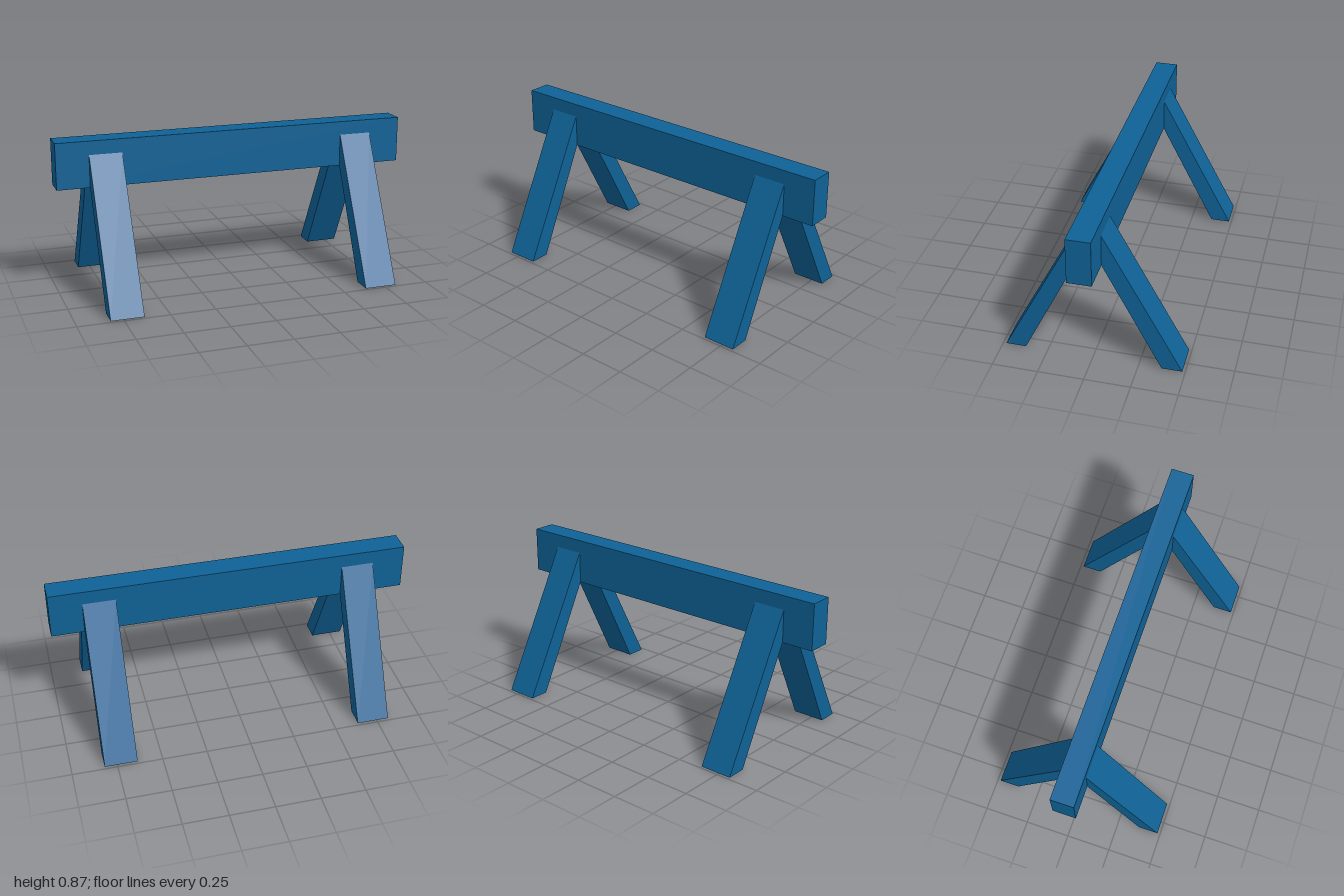
import * as THREE from 'three';

export function createModel() {
  const group = new THREE.Group();
  const bluePaint = new THREE.MeshStandardMaterial({ color: 0x0f6296 });
  bluePaint.name = 'bluePaint';

  // Top beam, sitting slightly forward of centre
  const beam = new THREE.Mesh(new THREE.BoxGeometry(2, 0.257, 0.13), bluePaint);
  beam.name = 'beam';
  beam.position.set(0, 0.738, 0.01);
  group.add(beam);

  // Splayed leg: side profile [z, y] extruded across its width
  const legWidth = 0.182;
  function addLeg(name, x, profile) {
    const shape = new THREE.Shape(profile.map(([z, y]) => new THREE.Vector2(z, y)));
    const geometry = new THREE.ExtrudeGeometry(shape, { depth: legWidth, bevelEnabled: false });
    geometry.translate(0, 0, -legWidth / 2);
    geometry.rotateY(-Math.PI / 2);
    const leg = new THREE.Mesh(geometry, bluePaint);
    leg.name = name;
    leg.position.x = x;
    group.add(leg);
  }

  // A front and a back leg at each end, cut flat at the floor and the beam
  for (const [side, x] of [['Right', -0.728], ['Left', 0.728]]) {
    addLeg('front' + side + 'Leg', x, [[0.373, 0], [0.484, 0], [0.075, 0.79], [0.075, 0.61]]);
    addLeg('back' + side + 'Leg', x, [[-0.373, 0], [-0.484, 0], [-0.055, 0.79], [-0.055, 0.61]]);
  }
  return group;
}
